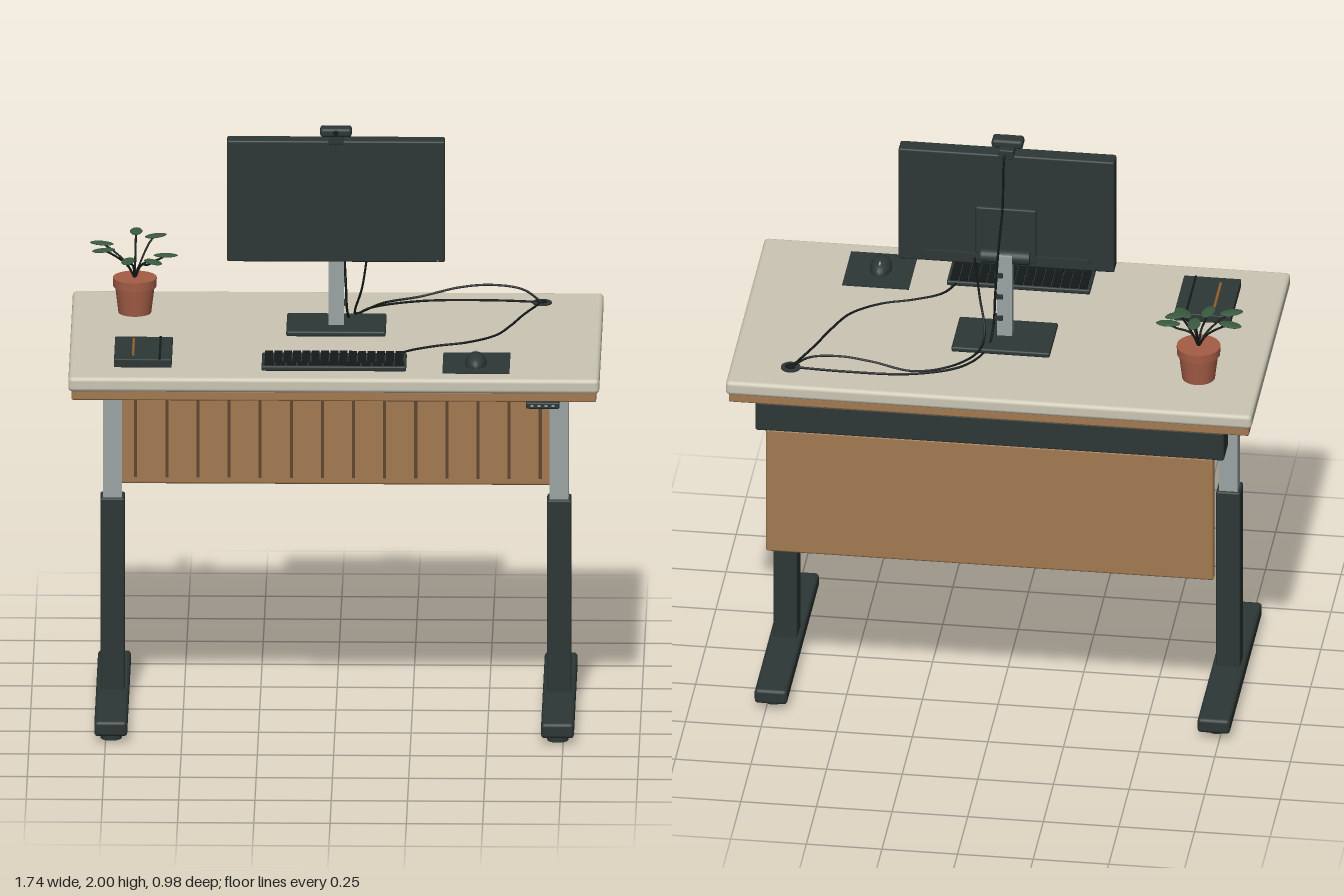
import * as THREE from 'three';
import { RoundedBoxGeometry } from 'three/addons/geometries/RoundedBoxGeometry.js';

const mat = (name, color) => {
  const m = new THREE.MeshStandardMaterial({ color });
  m.name = name;
  return m;
};
const M = {
  cream: mat('cream laminate', 0xcbc6b4),
  wood: mat('wood', 0xa27a51),
  groove: mat('dark wood', 0x5e452c),
  dark: mat('charcoal metal', 0x2d3735),
  black: mat('black rubber', 0x14191a),
  silver: mat('silver metal', 0x9aa5a4),
  clay: mat('terracotta', 0xa55d46),
  leaf: mat('leaf green', 0x3a5a40),
  pen: mat('pencil orange', 0x9a6432),
};
const DESK = 1.285;

export function createModel() {
  const root = new THREE.Group();
  root.name = 'standingDesk';

  const add = (name, geo, material, x = 0, y = 0, z = 0, parent = root) => {
    const mesh = new THREE.Mesh(geo, material);
    mesh.name = name;
    mesh.position.set(x, y, z);
    parent.add(mesh);
    return mesh;
  };
  // Box given by its min/max on each axis, with optional rounded edges
  const box = (name, material, [x0, x1], [y0, y1], [z0, z1], r = 0, parent = root) => {
    const s = [x1 - x0, y1 - y0, z1 - z0];
    const geo = r ? new RoundedBoxGeometry(...s, 2, r) : new THREE.BoxGeometry(...s);
    return add(name, geo, material, (x0 + x1) / 2, (y0 + y1) / 2, (z0 + z1) / 2, parent);
  };
  const cyl = (name, material, rt, rb, y0, y1, x, z, parent = root, n = 24) =>
    add(name, new THREE.CylinderGeometry(rt, rb, y1 - y0, n), material, x, (y0 + y1) / 2, z, parent);
  const tube = (name, material, pts, r, seg = 48, parent = root) => {
    const curve = new THREE.CatmullRomCurve3(pts.map((p) => new THREE.Vector3(...p)));
    return add(name, new THREE.TubeGeometry(curve, seg, r, 6), material, 0, 0, 0, parent);
  };
  const group = (name) => {
    const g = new THREE.Group();
    g.name = name;
    root.add(g);
    return g;
  };

  // Desktop
  box('desktop', M.cream, [-0.87, 0.87], [1.235, DESK], [-0.49, 0.48], 0.014);
  box('desktopUnderside', M.wood, [-0.86, 0.86], [1.205, 1.24], [-0.48, 0.47], 0.006);

  // Legs, feet and side rails
  for (const side of [-1, 1]) {
    const leg = group(side > 0 ? 'leftLeg' : 'rightLeg');
    const x = side * 0.732;
    const around = (w) => [x - w, x + w];
    box('outerColumn', M.dark, around(0.04), [0.07, 0.735], [-0.04, 0.04], 0.006, leg);
    box('innerColumn', M.silver, around(0.031), [0.72, 1.175], [-0.031, 0.031], 0, leg);
    box('sideRail', M.dark, around(0.045), [1.17, 1.206], [-0.35, 0.34], 0, leg);
    box('foot', M.dark, around(0.054), [0.028, 0.08], [-0.4, 0.4], 0.012, leg);
    for (const z of [-0.315, 0.315]) cyl('footPad', M.dark, 0.035, 0.035, 0, 0.03, x, z, leg);
  }

  // Rear cable tray and modesty panel with ribs on its inner face
  box('cableTray', M.dark, [-0.775, 0.775], [1.093, 1.2], [-0.46, -0.347], 0.008);
  box('modestyPanel', M.wood, [-0.74, 0.74], [0.64, 1.1], [-0.46, -0.428], 0.008);
  for (let i = 0; i < 14; i++) {
    const x = (i - 6.5) * 0.102;
    box('panelRib', M.groove, [x - 0.005, x + 0.005], [0.665, 1.095], [-0.43, -0.42]);
  }

  // Height controller
  const control = group('heightController');
  box('controllerBody', M.dark, [0.63, 0.74], [1.188, 1.21], [0.42, 0.49], 0.005, control);
  for (let i = 0; i < 4; i++) {
    const x = 0.65 + i * 0.023;
    box('controllerButton', M.silver, [x - 0.005, x + 0.005], [1.196, 1.203], [0.488, 0.491], 0, control);
  }

  // Monitor on its stand
  const monitor = group('monitor');
  box('standBase', M.dark, [-0.163, 0.163], [DESK, 1.303], [-0.193, 0.015], 0.006, monitor);
  box('standColumn', M.silver, [-0.025, 0.025], [1.3, 1.6], [-0.095, -0.057], 0, monitor);
  for (const y of [1.37, 1.45, 1.53])
    box('cableClip', M.dark, [0.005, 0.032], [y - 0.008, y + 0.008], [-0.102, -0.08], 0, monitor);
  box('screenFrame', M.dark, [-0.357, 0.357], [1.54, 1.955], [-0.048, 0.01], 0.006, monitor);
  box('screen', M.dark, [-0.347, 0.347], [1.555, 1.945], [0.008, 0.012], 0, monitor);
  box('powerLight', M.silver, [0.33, 0.338], [1.544, 1.548], [0.009, 0.012], 0, monitor);
  box('rearMount', M.dark, [-0.1, 0.1], [1.56, 1.76], [-0.06, -0.04], 0.005, monitor);
  box('rearVent', M.dark, [-0.275, 0.275], [1.57, 1.585], [-0.06, -0.04], 0, monitor);
  const hinge = cyl('hinge', M.dark, 0.024, 0.024, -0.08, 0.08, 0, -0.066, monitor);
  hinge.position.y = 1.585;
  hinge.rotation.z = Math.PI / 2;

  // Webcam
  const cam = group('webcam');
  box('webcamClip', M.dark, [-0.025, 0.025], [1.945, 1.978], [-0.055, 0.016], 0.004, cam);
  box('webcamBody', M.dark, [-0.052, 0.052], [1.97, 2.0], [-0.03, 0.02], 0.01, cam);
  const lens = cyl('webcamLens', M.black, 0.009, 0.009, 0, 0.006, 0, 0.021, cam);
  lens.position.y = 1.985;
  lens.rotation.x = Math.PI / 2;

  // Cables and desk grommet
  cyl('grommet', M.dark, 0.032, 0.032, DESK - 0.01, DESK + 0.005, 0.67, -0.367);
  cyl('grommetHole', M.black, 0.018, 0.018, DESK, DESK + 0.007, 0.67, -0.367);
  tube('webcamCable', M.black, [[0, 1.975, -0.03], [0.005, 1.95, -0.062], [0.01, 1.76, -0.068], [0.02, 1.62, -0.095],
    [0.03, 1.45, -0.1], [0.035, 1.34, -0.105], [0.045, 1.295, -0.16], [0.11, 1.291, -0.29], [0.27, 1.291, -0.365],
    [0.5, 1.291, -0.378], [0.67, 1.289, -0.367]], 0.004, 90);
  tube('monitorCable', M.black, [[0.105, 1.57, -0.05], [0.085, 1.43, -0.07], [0.06, 1.33, -0.13], [0.07, 1.3, -0.2],
    [0.15, 1.3, -0.315], [0.27, 1.305, -0.37], [0.4, 1.335, -0.378], [0.51, 1.345, -0.374], [0.61, 1.33, -0.37],
    [0.67, 1.287, -0.367]], 0.004, 80);
  tube('keyboardCable', M.black, [[0.2, 1.295, 0.25], [0.24, 1.29, 0.18], [0.33, 1.29, 0.125], [0.43, 1.29, 0.085],
    [0.52, 1.29, 0.01], [0.57, 1.29, -0.1], [0.61, 1.29, -0.22], [0.665, 1.289, -0.36]], 0.004, 70);

  // Keyboard
  const keyboard = group('keyboard');
  box('keyboardBody', M.dark, [-0.238, 0.236], [DESK, 1.302], [0.24, 0.396], 0.005, keyboard);
  const key = (x, w, z) =>
    box('key', M.black, [x, x + w], [1.3, 1.31], [z - 0.011, z + 0.011], 0, keyboard);
  for (let row = 0; row < 4; row++)
    for (let c = 0; c < 15; c++) key(-0.228 + c * 0.0305, 0.026, 0.258 + row * 0.0285);
  for (let c = 0; c < 4; c++) {
    key(-0.228 + c * 0.036, 0.031, 0.376);
    key(0.09 + c * 0.036, 0.031, 0.376);
  }
  key(-0.084, 0.168, 0.376);

  // Mouse on its pad
  const mouse = group('mouse');
  box('mousePad', M.dark, [0.355, 0.575], [DESK, 1.29], [0.195, 0.415], 0, mouse);
  const shell = new THREE.SphereGeometry(1, 24, 10, 0, Math.PI * 2, 0, Math.PI / 2);
  add('mouseShell', shell, M.dark, 0.463, 1.29, 0.318, mouse).scale.set(0.036, 0.038, 0.062);
  add('scrollWheel', new THREE.SphereGeometry(1, 12, 8), M.silver, 0.463, 1.322, 0.29, mouse).scale.set(0.004, 0.006, 0.011);

  // Notebook with strap and pencil
  const book = group('notebook');
  box('notebookCover', M.dark, [-0.722, -0.533], [DESK, 1.313], [0.11, 0.363], 0.003, book);
  box('notebookStrap', M.black, [-0.576, -0.569], [1.312, 1.315], [0.11, 0.363], 0, book);
  const pencil = cyl('pencil', M.pen, 0.005, 0.005, -0.085, 0.085, -0.66, 0.235, book, 6);
  pencil.position.y = 1.316;
  pencil.rotation.x = Math.PI / 2;

  // Potted plant
  const plant = group('plant');
  const px = -0.663, pz = -0.25;
  cyl('pot', M.clay, 0.066, 0.054, DESK, 1.385, px, pz, plant, 32);
  cyl('potRim', M.clay, 0.072, 0.071, 1.375, 1.405, px, pz, plant, 32);
  const leaves = [[-0.765, 1.51, -0.205], [-0.772, 1.51, -0.285], [-0.66, 1.535, -0.338], [-0.595, 1.535, -0.29],
    [-0.562, 1.48, -0.25], [-0.602, 1.48, -0.175], [-0.684, 1.485, -0.166]];
  for (const [x, y, z] of leaves) {
    tube('stem', M.black, [[px, 1.4, pz], [px + (x - px) * 0.25, 1.45, pz + (z - pz) * 0.25],
      [px + (x - px) * 0.75, y - 0.015, pz + (z - pz) * 0.75], [x, y, z]], 0.0035, 10, plant);
    const leaf = add('leaf', new THREE.SphereGeometry(1, 16, 8), M.leaf, x, y, z, plant);
    leaf.scale.set(0.04, 0.005, 0.021);
    leaf.rotation.y = -Math.atan2(z - pz, x - px);
  }
  return root;
}
